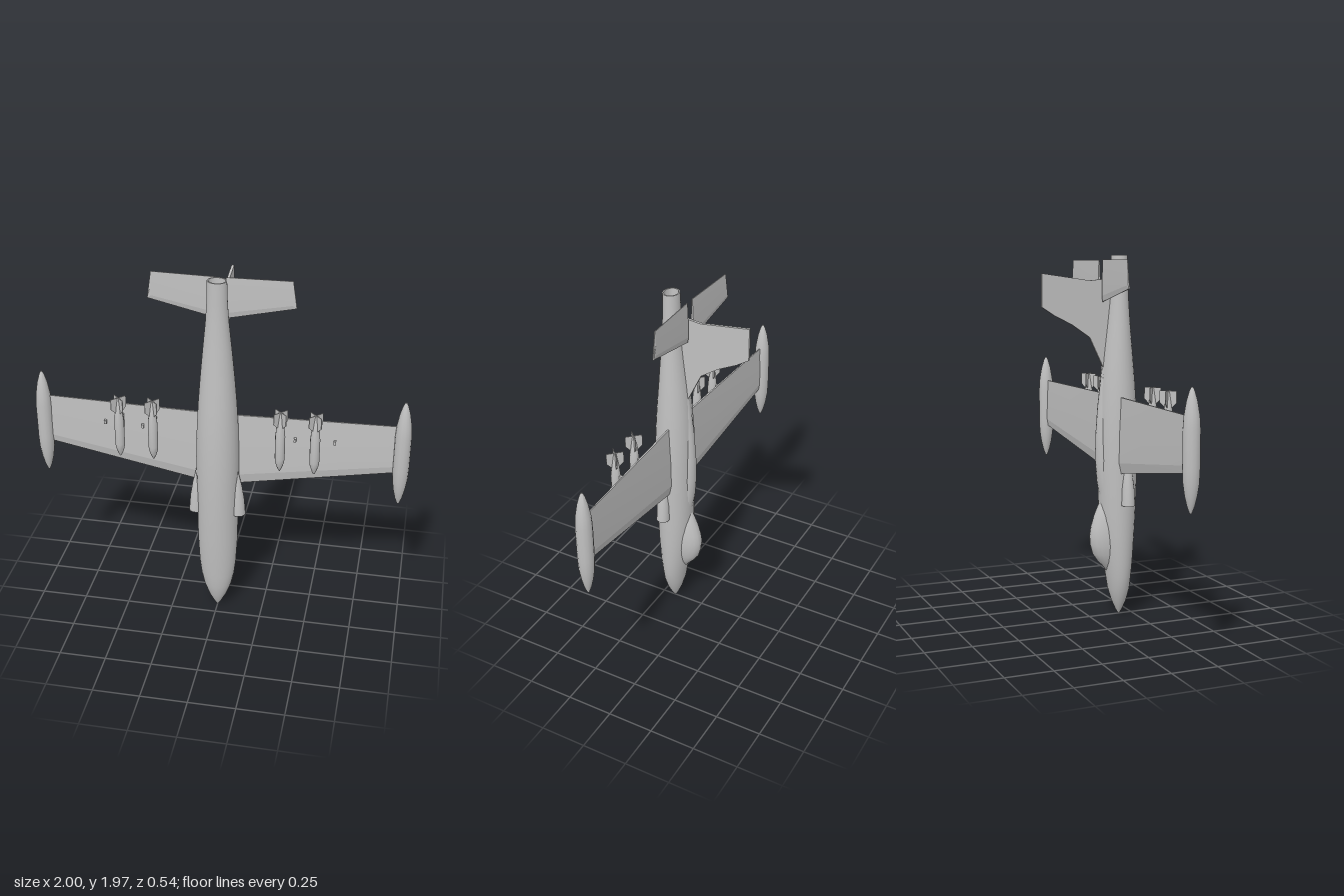
import * as THREE from 'three';
import { toCreasedNormals } from 'three/addons/utils/BufferGeometryUtils.js';

// Skin a row of closed cross-sections and close both ends
function loft(sections, crease = 0.6) {
  const n = sections[0].length, last = sections.length - 1;
  const pos = [], idx = [];
  sections.forEach(s => s.forEach(p => pos.push(...p)));
  for (let i = 0; i < last; i++) for (let j = 0; j < n; j++) {
    const k = (j + 1) % n, a = i * n + j, b = a + n, c = i * n + k, d = c + n;
    idx.push(a, b, c, c, b, d);
  }
  for (const i of [0, last]) {
    const centre = [0, 1, 2].map(q => sections[i].reduce((t, p) => t + p[q], 0) / n);
    const c = pos.length / 3;
    pos.push(...centre);
    for (let j = 0; j < n; j++) {
      const a = i * n + j, b = i * n + (j + 1) % n;
      if (i === 0) idx.push(c, a, b); else idx.push(c, b, a);
    }
  }
  const g = new THREE.BufferGeometry();
  g.setAttribute('position', new THREE.Float32BufferAttribute(pos, 3));
  g.setIndex(idx);
  return toCreasedNormals(g, crease);
}

// Elliptical cross-section at height y
function ring(y, x, z, rx, rz, n = 24) {
  return Array.from({ length: n }, (_, j) => {
    const a = j / n * Math.PI * 2;
    return [x + rx * Math.cos(a), y, z + rz * Math.sin(a)];
  });
}

// Wing cross-section: leading edge, underside, trailing edge, upper side
function foil(x, lead, trail, z, t) {
  const profile = [[0, 0.35], [0.14, 1], [0.5, 0.9], [1, 0.3], [1, -0.3], [0.5, -0.9], [0.14, -1], [0, -0.35]];
  return profile.map(([f, h]) => [x, lead + (trail - lead) * f, z + h * t]);
}

export function createModel() {
  const model = new THREE.Group();
  const grey = new THREE.MeshStandardMaterial({ color: 0xc0c0c0 });
  grey.name = 'airframe grey';
  const add = (name, geometry, parent = model) => {
    const m = new THREE.Mesh(geometry, grey);
    m.name = name;
    parent.add(m);
    return m;
  };

  // Fuselage, nose down, ending in a hollow tailpipe: y, z, rx, rz
  add('fuselage', loft([
    [0, 0.175, 0.003, 0.003], [0.03, 0.175, 0.022, 0.02], [0.08, 0.174, 0.048, 0.04],
    [0.15, 0.172, 0.075, 0.058], [0.22, 0.17, 0.09, 0.066], [0.3, 0.167, 0.1, 0.077],
    [0.45, 0.163, 0.108, 0.091], [0.6, 0.162, 0.11, 0.1], [0.8, 0.163, 0.113, 0.106],
    [0.97, 0.163, 0.114, 0.107], [1.15, 0.162, 0.109, 0.103], [1.3, 0.162, 0.1, 0.093],
    [1.45, 0.163, 0.088, 0.079], [1.6, 0.166, 0.074, 0.064], [1.75, 0.169, 0.059, 0.051],
    [1.85, 0.17, 0.053, 0.046], [1.965, 0.172, 0.05, 0.043], [1.965, 0.172, 0.043, 0.036],
    [1.92, 0.172, 0.04, 0.034]
  ].map(([y, z, rx, rz]) => ring(y, 0, z, rx, rz)), 0.7));

  // Raised spine from the canopy to the fin: y, top z, half width
  add('spine', loft([
    [0.56, 0.085, 0.045], [0.65, 0.065, 0.05], [0.75, 0.047, 0.05], [0.87, 0.037, 0.048],
    [1.0, 0.038, 0.045], [1.15, 0.048, 0.042], [1.3, 0.065, 0.036], [1.45, 0.085, 0.028],
    [1.6, 0.104, 0.018]
  ].map(([y, top, rx]) => ring(y, 0, top + 0.05, rx, 0.05, 16))));

  // Teardrop canopy
  add('canopy', loft([
    [0.25, 0.1, 0.008], [0.28, 0.078, 0.03], [0.31, 0.048, 0.045], [0.35, 0.02, 0.057],
    [0.4, 0.006, 0.065], [0.45, 0.002, 0.067], [0.5, 0.01, 0.064], [0.56, 0.028, 0.055],
    [0.61, 0.048, 0.042], [0.66, 0.073, 0.018]
  ].map(([y, top, rx]) => ring(y, 0, 0.115, rx, Math.max(0.115 - top, 0.006), 20))));

  // Main wing in one piece, tip to tip
  add('wing', loft([-0.94, 0, 0.94].map(x => {
    const s = Math.abs(x);
    return foil(x, 0.787 + 0.167 * s, 1.215, 0.148 - 0.036 * s, 0.018 - 0.009 * s);
  }), 0.1));

  // Vertical fin
  const outline = [[0.14, 1.845], [0, 1.832], [-0.27, 1.87], [-0.27, 1.695],
    [-0.2, 1.65], [-0.1, 1.6], [0, 1.532], [0.08, 1.365], [0.14, 1.365]];
  const finShape = new THREE.Shape(outline.map(([z, y]) => new THREE.Vector2(-z, y)));
  const fin = new THREE.ExtrudeGeometry(finShape, { depth: 0.014, bevelEnabled: false });
  fin.translate(0, 0, -0.007);
  fin.rotateY(Math.PI / 2);
  add('fin', fin);

  for (const side of [-1, 1]) {
    const label = side > 0 ? 'left' : 'right';

    // Tailplane half, set slightly off the fin
    const tail = [foil(side * 0.025, 1.72, 1.94, 0.067, 0.007),
      foil(side * 0.36, 1.791, 1.94, 0.056, 0.006),
      foil(side * 0.38, 1.795, 1.81, 0.055, 0.005)];
    add(label + 'Tailplane', loft(side > 0 ? tail : tail.reverse(), 0.1));

    // Wing tip tank
    add(label + 'TipTank', loft([
      [0.755, 0.006], [0.79, 0.019], [0.84, 0.031], [0.9, 0.04], [0.97, 0.043],
      [1.16, 0.043], [1.22, 0.039], [1.29, 0.027], [1.335, 0.014], [1.355, 0.005]
    ].map(([y, r]) => ring(y, side * 0.955, 0.115, r, r, 14))));

    // Hollow air intake: y, x, rx, rz
    add(label + 'Intake', loft([
      [0.69, 0.114, 0.03, 0.028], [0.63, 0.115, 0.034, 0.032], [0.63, 0.115, 0.039, 0.037],
      [0.72, 0.111, 0.036, 0.034], [0.8, 0.104, 0.03, 0.026], [0.86, 0.096, 0.024, 0.015],
      [0.92, 0.088, 0.018, 0.006]
    ].map(([y, x, rx, rz]) => ring(y, side * x, 0.178, rx, rz, 16)), 0.7));

    // Bombs on pylons, with crossed tail fins
    for (const x of [0.335, 0.515]) {
      const bomb = new THREE.Group();
      bomb.name = label + 'Bomb';
      bomb.position.set(side * x, 0, 0.212);
      model.add(bomb);
      add('bombBody', loft([
        [0.945, 0.004], [0.965, 0.013], [0.995, 0.023], [1.02, 0.026], [1.15, 0.026],
        [1.2, 0.021], [1.25, 0.013], [1.285, 0.007]
      ].map(([y, r]) => ring(y, 0, 0, r, r, 12))), bomb);
      for (const turn of [1, -1]) {
        const blade = new THREE.Shape([[-0.015, 1.2], [0.015, 1.2], [0.045, 1.23],
          [0.045, 1.29], [-0.045, 1.29], [-0.045, 1.23]].map(p => new THREE.Vector2(...p)));
        const g = new THREE.ExtrudeGeometry(blade, { depth: 0.004, bevelEnabled: false });
        g.translate(0, 0, -0.002);
        g.rotateY(turn * Math.PI / 4);
        add('bombFin', g, bomb);
      }
      add('pylon', new THREE.BoxGeometry(0.014, 0.08, 0.07), bomb).position.set(0, 1.12, -0.045);
    }

    // Small fittings under the wing
    for (const [x, z] of [[0.405, 0.147], [0.61, 0.138]])
      add('wingFitting', new THREE.BoxGeometry(0.012, 0.02, 0.025)).position.set(side * x, 1.1, z);
  }
  return model;
}
